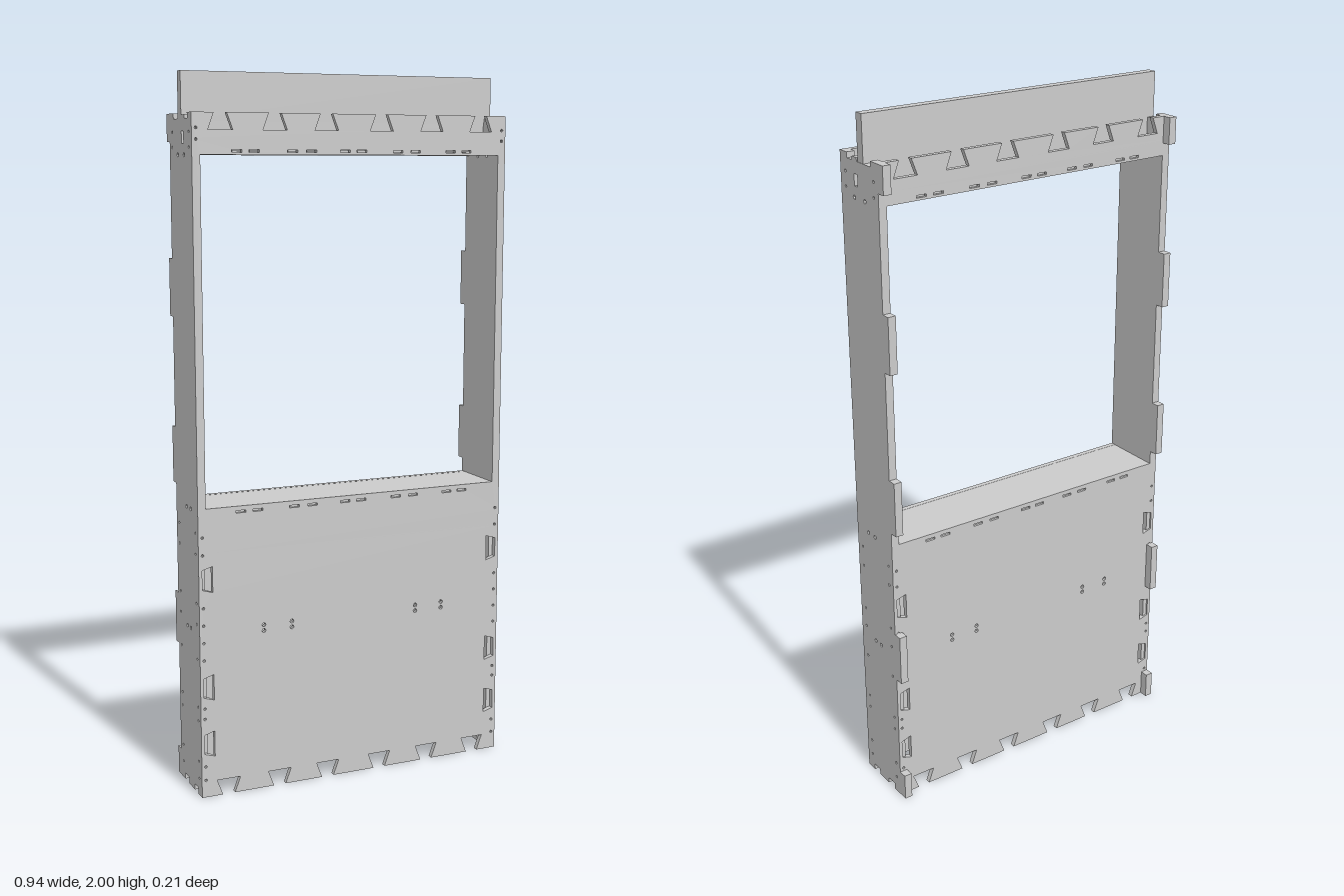
import * as THREE from 'three';

const HALF_W = 0.47, INNER_W = 0.447, TOP = 1.89;
const FRONT_Z = 0.09, BACK_Z = -0.08, PLY = 0.015;
const JOINTS = [-0.39, -0.235, -0.085, 0.08, 0.235, 0.39];
const SLOTS = [-0.345, -0.295, -0.185, -0.13, -0.03, 0.02, 0.13, 0.185, 0.295, 0.345];

const material = new THREE.MeshStandardMaterial({ color: 0xcccccc, flatShading: true });

const polygon = (points) => points.map(([x, y]) => new THREE.Vector2(x, y));
const rectangle = (x, y, w, h) => new THREE.Path(polygon([
  [x - w / 2, y - h / 2], [x - w / 2, y + h / 2], [x + w / 2, y + h / 2], [x + w / 2, y - h / 2],
]));
const roundHole = (x, y, r = 0.0045) => new THREE.Path().absarc(x, y, r, 0, Math.PI * 2, true);

function add(group, geometry, name) {
  const mesh = new THREE.Mesh(geometry, material);
  mesh.name = name;
  group.add(mesh);
}

function box(group, name, w, h, d, x, y, z) {
  add(group, new THREE.BoxGeometry(w, h, d).translate(x, y, z), name);
}

// Face frame: window opening, dovetail sockets top and bottom, fixing holes
function faceFrameGeometry() {
  const outline = [[-HALF_W, 0]];
  const socket = (x, edge, inward, dir) => outline.push(
    [x - dir * 0.018, edge], [x - dir * 0.035, edge + inward],
    [x + dir * 0.035, edge + inward], [x + dir * 0.018, edge]);
  JOINTS.forEach((x) => socket(x, 0, 0.045, 1));
  outline.push([HALF_W, 0], [HALF_W, TOP]);
  [...JOINTS].reverse().forEach((x) => socket(x, TOP, -0.045, -1));
  outline.push([-HALF_W, TOP]);

  const shape = new THREE.Shape(polygon(outline));
  shape.holes.push(rectangle(0, 1.305, INNER_W * 2, 0.95));
  for (const x of SLOTS) {
    shape.holes.push(rectangle(x, 0.814, 0.03, 0.007), rectangle(x, 1.79, 0.03, 0.007));
  }
  for (const s of [-1, 1]) {
    // Dovetail openings beside the posts
    for (const y of [0.155, 0.32, 0.63]) {
      shape.holes.push(new THREE.Path(polygon([
        [s * 0.46, y - 0.028], [s * 0.46, y + 0.028], [s * 0.43, y + 0.037], [s * 0.43, y - 0.037],
      ])));
    }
    // Bolt holes and edge screws
    for (const x of [0.195, 0.28]) {
      for (const y of [0.465, 0.482]) shape.holes.push(roundHole(s * x, y, 0.006));
    }
    for (const y of [0.05, 0.09, 0.23, 0.26, 0.4, 0.45, 0.5, 0.55, 0.7, 0.75, 1.82, 1.85]) {
      shape.holes.push(roundHole(s * 0.458, y, 0.004));
    }
  }
  return new THREE.ExtrudeGeometry(shape, { depth: PLY, bevelEnabled: false, curveSegments: 4 });
}

// Side panel drawn in z and y, with tabs along its back edge
function sidePanelGeometry() {
  const back = -0.075, tip = -0.105;
  const outline = [[FRONT_Z, 0], [FRONT_Z, TOP], [0.07, TOP], [0.07, 1.875], [0.045, 1.875],
    [0.045, 1.885], [0.022, 1.885], [0.022, 1.875], [-0.045, 1.875], [-0.045, TOP]];
  for (const [high, low] of [[1.89, 1.815], [1.5, 1.34], [1.03, 0.87], [0.55, 0.4], [0.08, 0]]) {
    outline.push([back, high], [tip, high], [tip, low], [back, low]);
  }
  outline.push([-0.045, 0], [-0.045, 0.018], [-0.01, 0.018], [-0.01, 0],
    [0.04, 0], [0.04, 0.018], [0.07, 0.018], [0.07, 0]);
  const clean = outline.filter(([x, y]) => !(x === back && (y === TOP || y === 0)));

  const shape = new THREE.Shape(polygon(clean));
  shape.holes.push(rectangle(0.029, 1.826, 0.016, 0.032));
  for (const [z, y] of [[0.04, 1.78], [-0.012, 1.78], [0.045, 0.82], [0.01, 0.82], [0.03, 0.475], [0, 0.475]]) {
    shape.holes.push(roundHole(z, y, 0.006));
  }
  for (const y of [0.05, 0.1, 0.22, 0.26, 0.4, 0.5, 0.56, 0.7, 0.76, 1.8, 1.84]) {
    shape.holes.push(roundHole(0.081, y, 0.004), roundHole(-0.058, y, 0.004));
  }
  return new THREE.ExtrudeGeometry(shape, {
    depth: HALF_W - INNER_W, bevelEnabled: false, curveSegments: 4,
  }).rotateY(-Math.PI / 2);
}

export function createModel() {
  const group = new THREE.Group();
  group.name = 'windowWallPanel';

  // Front and back faces
  add(group, faceFrameGeometry().translate(0, 0, FRONT_Z), 'frontFrame');
  add(group, faceFrameGeometry().translate(0, 0, BACK_Z), 'backFrame');

  // Sides
  add(group, sidePanelGeometry().translate(HALF_W, 0, 0), 'leftSide');
  add(group, sidePanelGeometry().translate(-INNER_W, 0, 0), 'rightSide');

  // Horizontal boards lining the window opening, with tenons in the frame slots
  const inside = FRONT_Z - BACK_Z - PLY;
  const midZ = (FRONT_Z + BACK_Z + PLY) / 2;
  for (const [name, y, slotY] of [['sill', 0.8215, 0.814], ['lintel', 1.7885, 1.79]]) {
    box(group, name, INNER_W * 2, 0.016, inside, 0, y, midZ);
    for (const x of SLOTS) {
      box(group, name + 'Tenon', 0.024, 0.005, inside + 0.02, x, slotY, midZ);
    }
  }

  // Upright board along the top
  box(group, 'topBoard', 0.938, 0.13, 0.027, 0, 1.935, 0.004);
  box(group, 'topBoardFoot', INNER_W * 2, 0.075, 0.027, 0, 1.833, 0.004);
  return group;
}
